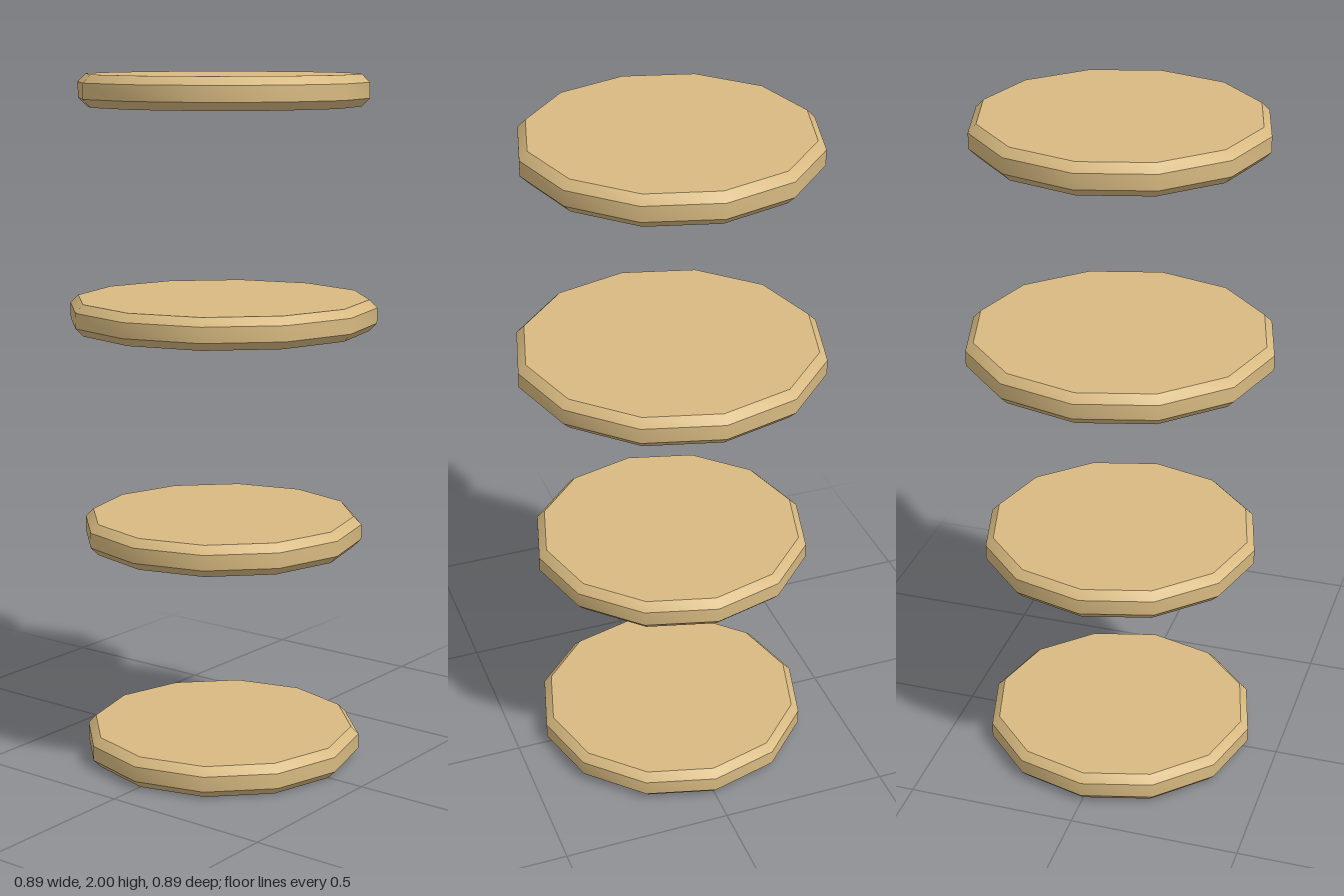
import * as THREE from 'three';
import { toCreasedNormals } from 'three/addons/utils/BufferGeometryUtils.js';

const HEIGHT = 0.09;
const BEVEL = 0.023;
const SIDES = 12;

// Bevelled twelve-sided disc, smooth around the rim and sharp at the bevels
function discGeometry(radius) {
  const profile = [
    [0, 0],
    [radius - BEVEL, 0],
    [radius, BEVEL],
    [radius, HEIGHT - BEVEL],
    [radius - BEVEL, HEIGHT],
    [0, HEIGHT],
  ].map(([r, y]) => new THREE.Vector2(r, y));
  return toCreasedNormals(new THREE.LatheGeometry(profile, SIDES), 0.6);
}

export function createModel() {
  const group = new THREE.Group();
  group.name = 'floatingDiscs';

  const wood = new THREE.MeshStandardMaterial({ color: 0xd8ba81 });
  wood.name = 'tan wood';

  // Four separate discs: name, radius, height of underside
  const discs = [
    ['bottomDisc', 0.408, 0],
    ['lowerDisc', 0.408, 0.641],
    ['upperDisc', 0.445, 1.277],
    ['topDisc', 0.415, 1.91],
  ];
  for (const [name, radius, y] of discs) {
    const disc = new THREE.Mesh(discGeometry(radius), wood);
    disc.name = name;
    disc.position.y = y;
    group.add(disc);
  }
  return group;
}
